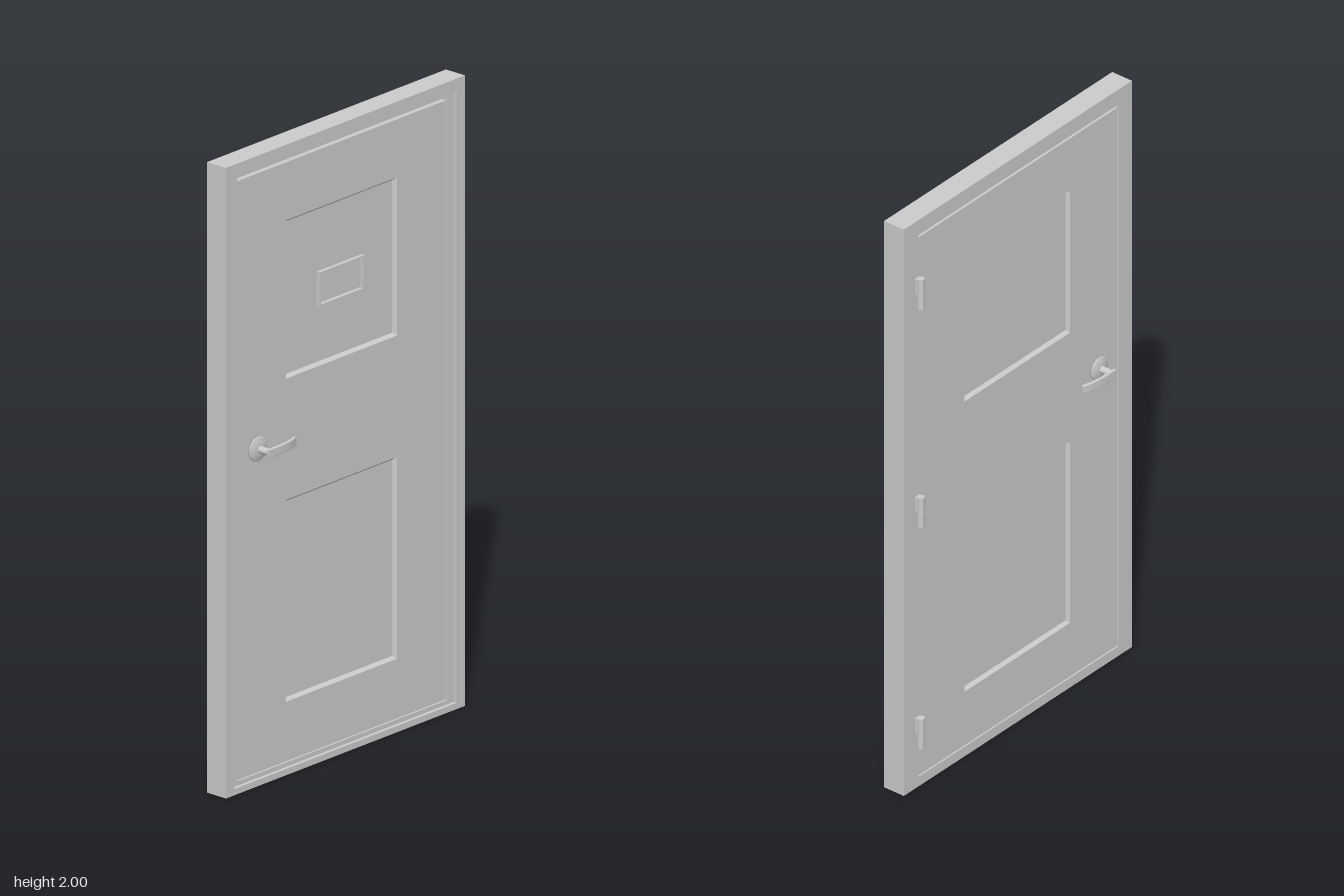
import * as THREE from 'three';

const material = new THREE.MeshStandardMaterial({ color: 0xcccccc, side: THREE.DoubleSide });

function add(parent, name, geometry, x = 0, y = 0, z = 0) {
  const mesh = new THREE.Mesh(geometry, material);
  mesh.name = name;
  mesh.position.set(x, y, z);
  parent.add(mesh);
  return mesh;
}

// Rectangles are [x0, y0, x1, y1]
const corners = ([x0, y0, x1, y1]) => [[x0, y0], [x1, y0], [x1, y1], [x0, y1]];
const points = (rect) => corners(rect).map(([x, y]) => new THREE.Vector2(x, y));
const inset = ([x0, y0, x1, y1], d) => [x0 + d, y0 + d, x1 - d, y1 - d];

// Flat plate with rectangular openings, from z0 to z1
function plate(rect, holes, z0, z1) {
  const shape = new THREE.Shape(points(rect));
  holes.forEach((hole) => shape.holes.push(new THREE.Path(points(hole))));
  return new THREE.ExtrudeGeometry(shape, { depth: z1 - z0, bevelEnabled: false }).translate(0, 0, z0);
}

// Sloped border between an outer rectangle at z0 and an inner one at z1
function slopedBorder(outer, inner, z0, z1) {
  const a = corners(outer), b = corners(inner), v = [];
  const flip = z0 < 0;
  for (let i = 0; i < 4; i++) {
    const j = (i + 1) % 4;
    const A = [...a[i], z0], B = [...a[j], z0], C = [...b[j], z1], D = [...b[i], z1];
    v.push(...(flip ? [A, C, B, A, D, C] : [A, B, C, A, C, D]).flat());
  }
  const g = new THREE.BufferGeometry();
  g.setAttribute('position', new THREE.Float32BufferAttribute(v, 3));
  g.computeVertexNormals();
  return g;
}

// Rosette, neck and curved lever, pointing along +z from the door face
function makeHandle(name) {
  const handle = new THREE.Group();
  handle.name = name;
  const profile = [[0, 0], [0.039, 0], [0.039, 0.004], [0.036, 0.007], [0.024, 0.009], [0.018, 0.012], [0, 0.012]];
  const rosette = new THREE.LatheGeometry(profile.map(([r, h]) => new THREE.Vector2(r, h)), 32);
  add(handle, 'rosette', rosette.rotateX(Math.PI / 2));
  add(handle, 'neck', new THREE.CylinderGeometry(0.0115, 0.0115, 0.052, 24).rotateX(Math.PI / 2), 0, 0, 0.026);

  // Lever outline seen from above: x along the lever, second axis away from the door
  const s = new THREE.Shape();
  s.moveTo(-0.0115, 0.049);
  s.lineTo(0.03, 0.049);
  s.quadraticCurveTo(0.085, 0.048, 0.122, 0.034);
  s.lineTo(0.126, 0.043);
  s.quadraticCurveTo(0.085, 0.06, 0.03, 0.06);
  s.lineTo(-0.0115, 0.06);
  const lever = new THREE.ExtrudeGeometry(s, {
    depth: 0.022, bevelThickness: 0.003, bevelSize: 0.002, bevelOffset: -0.002, bevelSegments: 2, curveSegments: 12,
  });
  add(handle, 'lever', lever.translate(0, 0, -0.011).rotateX(Math.PI / 2));
  return handle;
}

// Two knuckles on one pin, each with its own leaf
function makeHinge(y) {
  const hinge = new THREE.Group();
  hinge.name = 'hinge';
  hinge.position.set(0.468, y, 0);
  for (const side of [1, -1]) {
    const cy = side * 0.0265;
    add(hinge, 'knuckle', new THREE.CylinderGeometry(0.012, 0.012, 0.052, 20), 0, cy, -0.045);
    add(hinge, 'leaf', new THREE.BoxGeometry(0.012, 0.052, 0.02), side * 0.007, cy, -0.037);
  }
  add(hinge, 'gapLeaf', new THREE.BoxGeometry(0.003, 0.105, 0.06), -0.0045, 0, -0.008);
  return hinge;
}

export function createModel() {
  const model = new THREE.Group();
  model.name = 'door';

  // Frame: stop section behind, wider rebate in front
  const outer = [-0.533, 0, 0.533, 2];
  const frame = new THREE.Group();
  frame.name = 'frame';
  add(frame, 'frameBack', plate(outer, [[-0.47, 0.034, 0.465, 1.947]], -0.033, 0.031));
  add(frame, 'frameFront', plate(outer, [[-0.495, 0.02, 0.495, 1.963]], 0.031, 0.043));
  model.add(frame);

  // Door leaf: a core with a front and back skin around sunken panels
  const leaf = new THREE.Group();
  leaf.name = 'doorLeaf';
  const edge = [-0.468, 0.036, 0.463, 1.936];
  const panels = [[-0.248, 1.25, 0.246, 1.752], [-0.248, 0.225, 0.246, 0.865]];
  const front = 0.028, back = -0.03, depth = 0.011;
  add(leaf, 'core', plate(edge, [], back + depth, front - depth));
  add(leaf, 'frontSkin', plate(edge, panels, front - depth, front));
  add(leaf, 'backSkin', plate(edge, panels, back, back + depth));
  for (const panel of panels) {
    add(leaf, 'frontPanelBorder', slopedBorder(panel, inset(panel, 0.009), front, front - depth));
    add(leaf, 'backPanelBorder', slopedBorder(panel, inset(panel, 0.009), back, back + depth));
  }
  model.add(leaf);

  // Small raised plate holder on the upper front panel
  const holder = [-0.1, 1.437, 0.1, 1.546];
  add(model, 'plateHolder', plate(holder, [inset(holder, 0.006)], front - depth, front + 0.002));

  // Lever handles on both faces
  const frontHandle = makeHandle('frontHandle');
  frontHandle.position.set(-0.377, 1.063, front);
  const backHandle = makeHandle('backHandle');
  backHandle.position.set(-0.377, 1.063, -0.033);
  backHandle.scale.z = -1;
  model.add(frontHandle, backHandle);

  // Hinges
  for (const y of [0.197, 0.977, 1.748]) model.add(makeHinge(y));

  return model;
}
